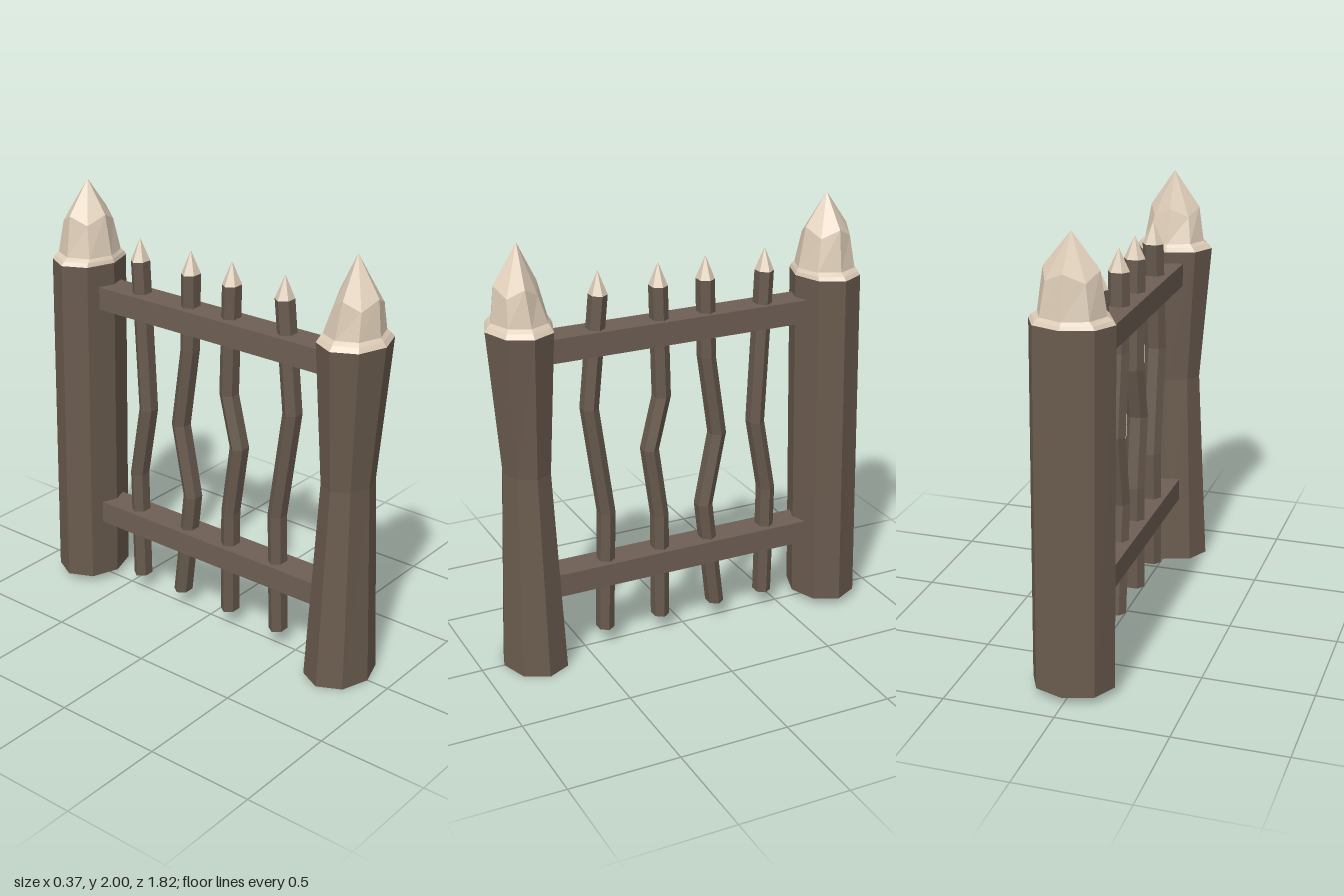
import * as THREE from 'three';

const flat = (name, color, side = THREE.FrontSide) => {
  const m = new THREE.MeshStandardMaterial({ color, flatShading: true, side });
  m.name = name;
  return m;
};

// Oval ring of corners around the y axis; slope tilts it along z, drop lowers alternate corners
function ring(n, y, z, rx, rz, { phase = 0, slope = 0, drop = 0 } = {}) {
  return Array.from({ length: n }, (_, i) => {
    const a = (i / n) * Math.PI * 2 + phase;
    const dz = Math.cos(a) * rz;
    return [Math.sin(a) * rx, y + slope * dz - (i % 2) * drop, z + dz];
  });
}

// Skin a stack of rings with flat facets
function loft(rings, capBottom = false) {
  const pos = [];
  const tri = (...corners) => corners.forEach((c) => pos.push(...c));
  const n = rings[0].length;
  for (let r = 0; r + 1 < rings.length; r++) {
    const a = rings[r], b = rings[r + 1];
    for (let i = 0; i < n; i++) {
      const j = (i + 1) % n;
      tri(a[i], a[j], b[j]);
      tri(a[i], b[j], b[i]);
    }
  }
  if (capBottom) for (let i = 1; i + 1 < n; i++) tri(rings[0][0], rings[0][i + 1], rings[0][i]);
  const g = new THREE.BufferGeometry();
  g.setAttribute('position', new THREE.Float32BufferAttribute(pos, 3));
  g.computeVertexNormals();
  return g;
}

export function createModel() {
  const model = new THREE.Group();
  model.name = 'palisadeGate';
  const postWood = flat('post wood', 0x6a5b4e, THREE.DoubleSide);
  const picketWood = flat('picket wood', 0x685a4e);
  const railWood = flat('rail wood', 0x6e5f54);
  const bone = flat('bone', 0xdccbb6);

  const add = (name, geometry, material) => {
    const mesh = new THREE.Mesh(geometry, material);
    mesh.name = name;
    model.add(mesh);
    return mesh;
  };

  // Posts: hollow eight-sided logs, the front one waisted, the back one leaning
  add('frontPost', loft([
    ring(8, 0, 0.745, 0.185, 0.15),
    ring(8, 0.94, 0.752, 0.135, 0.108),
    ring(8, 1.585, 0.76, 0.185, 0.15),
  ]), postWood);
  add('backPost', loft([
    ring(8, 0.035, -0.75, 0.185, 0.155, { slope: -0.02 }),
    ring(8, 1.633, -0.717, 0.185, 0.152, { slope: -0.02 }),
  ]), postWood);

  // Chipped bone points with a narrow lip over each post
  add('frontPostPoint', loft([
    ring(8, 1.585, 0.76, 0.185, 0.15),
    ring(8, 1.605, 0.758, 0.165, 0.138),
    ring(8, 1.62, 0.756, 0.145, 0.125),
    ring(8, 1.78, 0.77, 0.118, 0.096, { drop: 0.04 }),
    ring(8, 1.95, 0.757, 0, 0),
  ]), bone);
  add('backPostPoint', loft([
    ring(8, 1.633, -0.717, 0.185, 0.152),
    ring(8, 1.65, -0.715, 0.172, 0.145),
    ring(8, 1.665, -0.714, 0.148, 0.135),
    ring(8, 1.85, -0.717, 0.12, 0.105, { drop: 0.04 }),
    ring(8, 2, -0.714, 0, 0),
  ]), bone);

  // Rails: [name, y, z start, z end, x offset]
  for (const [name, y, z0, z1, x] of [
    ['upperRail', 1.477, 0.635, -0.59, -0.005],
    ['lowerRail', 0.375, 0.635, -0.615, 0],
  ]) {
    add(name, new THREE.BoxGeometry(0.145, 0.107, z0 - z1), railWood)
      .position.set(x, y, (z0 + z1) / 2);
  }

  // Crooked pickets: [y, z] along each stick
  const sticks = [
    [[0.08, 0.398], [0.66, 0.382], [1.17, 0.452], [1.68, 0.4]],
    [[0.08, 0.118], [0.59, 0.118], [0.925, 0.165], [1.17, 0.105], [1.68, 0.118]],
    [[0.08, -0.168], [0.6, -0.106], [0.945, -0.173], [1.32, -0.118], [1.68, -0.11]],
    [[0.08, -0.423], [0.62, -0.432], [0.965, -0.37], [1.68, -0.404]],
  ];
  const hex = { phase: Math.PI / 6 };
  sticks.forEach((path, k) => {
    add(`picket${k + 1}`, loft(path.map(([y, z]) => ring(6, y, z, 0.05, 0.041, hex)), true), picketWood);
    const z = path[path.length - 1][1];
    add(`picketPoint${k + 1}`, loft([ring(6, 1.68, z, 0.05, 0.041, hex), ring(6, 1.785, z, 0, 0)]), bone);
  });

  return model;
}
